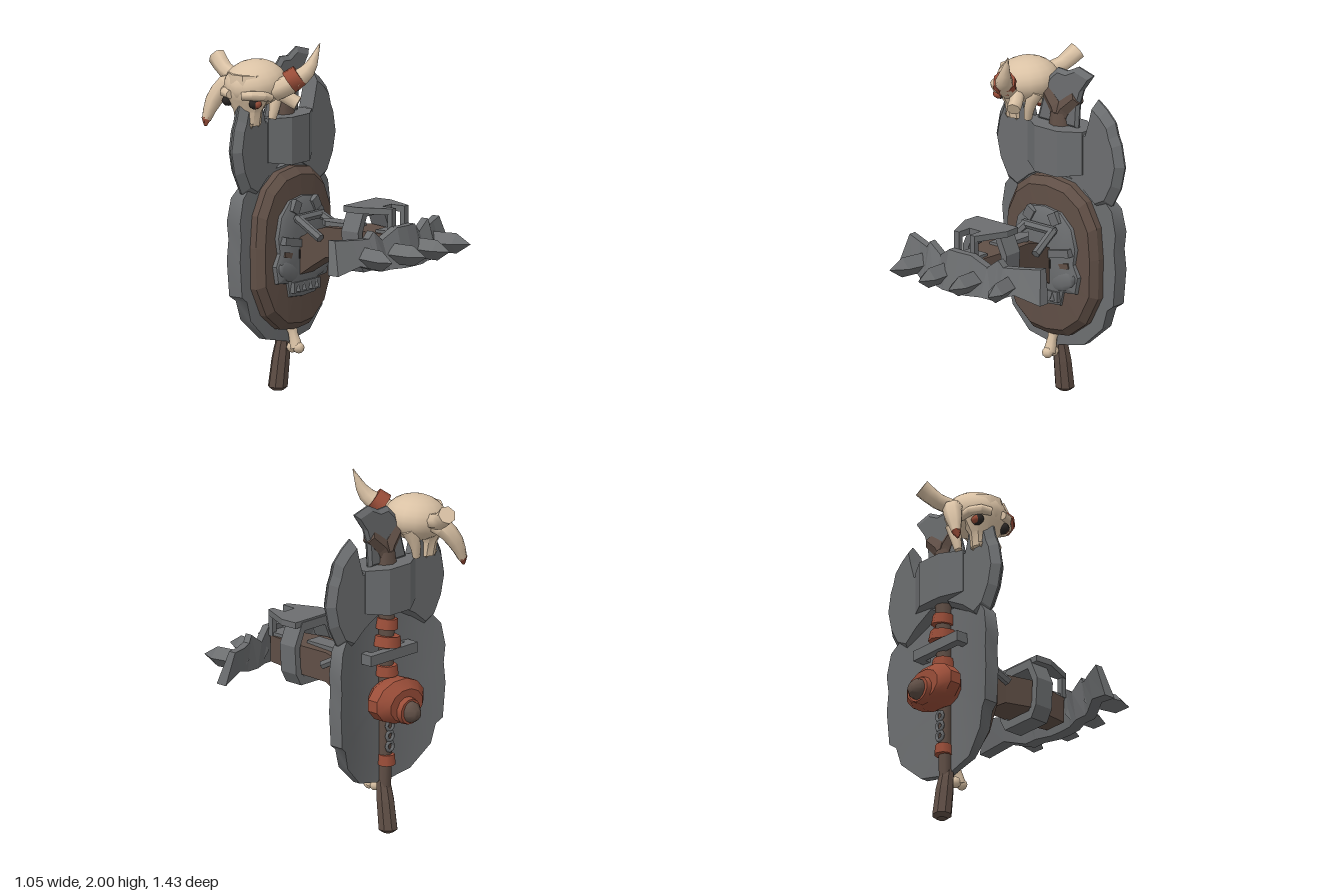
import * as THREE from 'three';
import { toCreasedNormals } from 'three/addons/utils/BufferGeometryUtils.js';

const V = (x, y, z) => new THREE.Vector3(x, y, z);

// Solid through closed loops of points, capped at both ends, faces turned outward
function loft(loops, crease = 0) {
  const tris = [];
  const n = loops[0].length;
  for (let k = 0; k + 1 < loops.length; k++) {
    for (let i = 0; i < n; i++) {
      const j = (i + 1) % n;
      const [a, b, c, d] = [loops[k][i], loops[k][j], loops[k + 1][j], loops[k + 1][i]];
      tris.push([a, b, c], [a, c, d]);
    }
  }
  const cap = (loop, flip) => {
    const mid = loop.reduce((m, p) => m.add(p), V(0, 0, 0)).divideScalar(n);
    loop.forEach((p, i) => {
      const q = loop[(i + 1) % n];
      tris.push(flip ? [mid, q, p] : [mid, p, q]);
    });
  };
  cap(loops[0], true);
  cap(loops[loops.length - 1], false);
  const o = loops[0][0];
  let volume = 0;
  for (const [a, b, c] of tris) {
    volume += a.clone().sub(o).dot(b.clone().sub(o).cross(c.clone().sub(o)));
  }
  const pts = tris.flatMap(([a, b, c]) => (volume < 0 ? [a, c, b] : [a, b, c]));
  const geo = new THREE.BufferGeometry().setFromPoints(pts);
  geo.computeVertexNormals();
  return crease ? toCreasedNormals(geo, crease) : geo;
}

// Tapered round bar along a curve
function taper(points, radii, sides = 8, steps = 6) {
  const curve = new THREE.CatmullRomCurve3(points.map(p => V(...p)));
  const { normals, binormals } = curve.computeFrenetFrames(steps);
  const loops = [];
  for (let k = 0; k <= steps; k++) {
    const f = (k / steps) * (radii.length - 1);
    const i = Math.min(Math.floor(f), radii.length - 2);
    const r = THREE.MathUtils.lerp(radii[i], radii[i + 1], f - i);
    const c = curve.getPoint(k / steps);
    loops.push(Array.from({ length: sides }, (_, s) => {
      const a = (s / sides) * Math.PI * 2;
      return c.clone().addScaledVector(normals[k], Math.cos(a) * r).addScaledVector(binormals[k], Math.sin(a) * r);
    }));
  }
  return loft(loops, sides > 6 ? .95 : 0);
}

const ring = (n, f) => Array.from({ length: n }, (_, i) => f(((i + 0.5) / n) * Math.PI * 2));
const mirrored = half => [...half, ...half.filter(p => p[0] > 0).reverse().map(([x, y]) => [-x, y])];
// Outline scaled about a centre, with depth from a rule
const outline = (pts, s, cx, cy, depth) => pts.map(([x, y]) => {
  const px = cx + (x - cx) * s, py = cy + (y - cy) * s;
  return V(px, py, depth(px, py));
});
const shape = pts => new THREE.Shape(pts.map(p => new THREE.Vector2(...p)));
const extrude = (s, depth) => new THREE.ExtrudeGeometry(s, { depth, bevelEnabled: false });

export function createModel() {
  const root = new THREE.Group();
  const mat = (name, color) => Object.assign(new THREE.MeshStandardMaterial({ color }), { name });
  const metal = mat('iron', 0x6c6e70), wood = mat('wood', 0x604f46);
  const bone = mat('bone', 0xdac2a5), red = mat('red leather', 0x9b4e39), dark = mat('shadow black', 0x2b2725);
  const add = (name, geo, material, x = 0, y = 0, z = 0) => {
    const m = new THREE.Mesh(geo, material);
    m.name = name;
    m.position.set(x, y, z);
    root.add(m);
    return m;
  };
  const box = (name, w, h, d, material, x, y, z) => add(name, new THREE.BoxGeometry(w, h, d), material, x, y, z);

  // Iron backplate, hollowed at the back
  const plate = mirrored([[0, 1.28], [.2, 1.26], [.32, 1.21], [.39, 1.13], [.415, 1.0], [.405, .9], [.415, .78],
    [.40, .58], [.36, .55], [.33, .44], [.2, .32], [0, .28]]);
  const plateLoop = (s, off, bend) => outline(plate, s, 0, .78, x => off - bend * (x / .41) ** 2);
  add('shieldBackplate', loft([...[.02, .4, .75, 1].map(s => plateLoop(s, -.318, .025)),
    ...[1, .75, .4, .02].map(s => plateLoop(s, -.352, .082))], .7), metal);

  // Wooden shield board with a bevelled rim
  const oval = mirrored([[0, 1.27], [.14, 1.25], [.25, 1.17], [.32, 1.03], [.335, .85], [.33, .62], [.25, .46], [.13, .37], [0, .355]]);
  const ovalLoop = (s, off) => outline(oval, s, 0, .81, x => off - .02 * (x / .33) ** 2);
  add('shieldBoard', loft([ovalLoop(.3, -.30), ovalLoop(1, -.325), ovalLoop(1, -.275), ovalLoop(.91, -.235), ovalLoop(.5, -.23)]), wood);

  // Iron face on the board
  const face = mirrored([[0, 1.12], [.12, 1.1], [.2, 1.02], [.23, .9], [.215, .81], [.25, .74], [.23, .64], [.14, .63], [.12, .55], [0, .54]]);
  const faceLoop = (s, z) => outline(face, s, 0, .84, () => z);
  add('facePlate', loft([faceLoop(1, -.25), faceLoop(.97, -.222), faceLoop(.85, -.205), faceLoop(.5, -.195)], .6), metal);
  add('faceMouth', extrude(shape([[-.07, .82], [-.07, .77], [-.035, .765], [-.03, .735], [0, .715], [.03, .735], [.035, .765], [.07, .77], [.07, .82]]), .008), dark, 0, 0, -.198);
  box('faceJaw', .24, .06, .03, metal, 0, .61, -.205);
  for (const s of [-1, 1]) {
    box('faceBrow', .16, .045, .04, metal, s * .13, .87, -.2).rotation.z = s * .2;
    box('faceEye', .07, .03, .008, wood, s * .16, .80, -.2).rotation.z = s * .2;
    add('faceCheek', new THREE.SphereGeometry(1, 8, 6).scale(.1, .06, .02), metal, s * .14, .71, -.212).rotation.z = s * .35;
    for (const x of [.03, .085]) add('faceTooth', new THREE.ConeGeometry(.018, .05, 4), metal, s * x, .615, -.19);
    box('foreheadLump', .06, .07, .03, metal, s * .09, 1.06, -.205).rotation.z = s * .5;
  }

  // Ring handle above the arm
  for (const s of [-1, 1]) {
    add('handleLeg', taper([[s * .12, .91, -.01], [s * .1, 1.0, -.18]], [.025, .025], 6, 1), metal);
  }
  add('handleBar', taper([[-.115, 1.0, -.175], [.115, 1.0, -.175]], [.025, .025], 6, 1), metal);

  // Wooden arm reaching forward, with an iron strip on top
  const arm = [[-.21, .67, .88, .06], [-.1, .74, .94, .075], [0, .80, .97, .085], [.17, .815, .98, .11], [.44, .82, .97, .07]];
  add('arm', loft(arm.map(([z, lo, hi, w]) => [V(-w, lo, z), V(w, lo, z), V(w, hi, z), V(-w, hi, z)])), wood);
  const strip = extrude(shape([[-.05, -.18], [.05, -.18], [.05, .03], [0, .09], [-.05, .03]]), .03);
  add('armStrip', strip.rotateX(-Math.PI / 2), metal, 0, .965, 0);
  box('armEndPlate', .13, .03, .12, metal, 0, .975, .39);

  // Collar and slotted tongue
  const collar = shape([[-.11, .75], [.11, .75], [.15, .82], [.16, .98], [.1, 1.11], [-.1, 1.11], [-.16, .98], [-.15, .82]]);
  collar.holes.push(new THREE.Path([[-.09, .8], [-.115, .85], [-.12, .97], [-.08, 1.06], [.08, 1.06], [.12, .97], [.115, .85], [.09, .8]]
    .map(p => new THREE.Vector2(...p))));
  add('collar', extrude(collar, .115), metal, 0, 0, .165);
  const tongue = extrude(shape([[-.15, -.17], [-.155, -.27], [-.075, -.45], [-.04, -.45], [-.04, -.36], [.04, -.36],
    [.04, -.45], [.075, -.45], [.155, -.27], [.15, -.17]]), .035);
  add('collarTongue', tongue.rotateX(-Math.PI / 2), metal, 0, 1.085, 0);
  for (const s of [-1, 1]) box('tonguePost', .035, .14, .03, metal, s * .058, 1.04, .435);

  // Waved knuckle blade: x, back z, low y, high y
  const wave = [[0, .45, .8, 1.02], [.08, .445, .8, 1.02], [.17, .41, .8, .96], [.25, .41, .8, 1.02], [.28, .40, .81, .98], [.37, .355, .84, .98], [.48, .315, .80, .99]];
  const waveAll = [...wave.slice(1).reverse().map(([x, ...r]) => [-x, ...r]), ...wave];
  add('knuckleBlade', loft(waveAll.map(([x, z, lo, hi]) => {
    const b = x * (Math.abs(x) > .4 ? 1.09 : 1);
    return [V(x, hi, z), V(x, hi, z + .045), V(b, lo, z + .1), V(b, lo, z + .03)];
  })), metal);
  for (const s of [-1, 1]) {
    for (const [x0, x1, z0, z1] of [[.11, .11, .46, .71], [.31, .36, .42, .665]]) {
      const loop = (t, r) => ring(4, a => V(s * (x0 + (x1 - x0) * t) + r * Math.sin(a + Math.PI / 4),
        .88 + r * 1.1 * Math.cos(a + Math.PI / 4), z0 + (z1 - z0) * t));
      add('knuckleSpike', loft([loop(0, .052), loop(.66, .052), loop(1, .001)]), metal);
    }
  }

  // Axe: paired blades, socket and crest
  const blade = [[.05, 1.56], [.22, 1.56], [.25, 1.66], [.275, 1.755], [.34, 1.71], [.40, 1.65], [.42, 1.58], [.445, 1.53], [.47, 1.4],
    [.44, 1.27], [.38, 1.16], [.3, 1.12], [.2, 1.2], [.05, 1.28]];
  for (const s of [-1, 1]) {
    const loop = (k, z) => outline(blade.map(([x, y]) => [s * x, y]), k, s * .18, 1.41, () => z);
    add('axeBlade', loft([loop(.86, -.318), loop(1, -.36), loop(1, -.37), loop(.86, -.412)]), metal);
  }
  const socket = (y, lift) => ring(8, a => V(.215 * Math.cos(a), y + lift * Math.abs(Math.cos(a)), -.362 + .138 * Math.sin(a)));
  add('axeSocket', loft([socket(1.28, .035), socket(1.56, 0)]), metal);
  const crest = [[-.17, 1.55], [-.12, 1.72], [-.08, 1.82], [-.02, 1.88], [.05, 1.875], [.13, 1.915], [.24, 1.885], [.17, 1.79], [.14, 1.7], [.13, 1.55]];
  const crestLoop = (k, z) => outline(crest, k, .03, 1.7, () => z);
  add('crestBlade', loft([crestLoop(.86, -.342), crestLoop(1, -.36), crestLoop(1, -.37), crestLoop(.86, -.388)]), metal);

  // Forked wooden shaft with wraps
  add('shaft', taper([[0, .24, -.37], [0, 1.3, -.385]], [.035, .045], 8, 1), wood);
  add('forkStem', new THREE.CylinderGeometry(.06, .072, .09, 8).toNonIndexed(), wood, 0, 1.585, -.365);
  for (const x of [-.1, .12]) add('forkArm', taper([[0, 1.6, -.365], [x * .3, 1.66, -.365], [x, 1.735, -.365]], [.056, .052, .042], 6, 2), wood);
  const grip = [[.3, .038, -.355], [.25, .045, -.365], [.18, .052, -.375], [.02, .056, -.395], [0, .03, -.395]];
  add('grip', loft(grip.map(([y, r, z]) => ring(8, a => V(r * Math.cos(a), y, z + r * Math.sin(a))))), wood);
  for (const [y, r] of [[1.21, .06], [1.11, .075], [.94, .06], [.42, .045]]) {
    const wrap = add('shaftWrap', new THREE.CylinderGeometry(r, r * 1.1, .06, 8).toNonIndexed(), red, 0, y, -.385);
    wrap.rotation.z = y > 1 ? .12 : 0;
  }
  box('shaftClamp', .37, .06, .05, metal, 0, 1.04, -.42);
  for (const s of [-1, 1]) box('clampBracket', .05, .06, .1, metal, s * .16, 1.04, -.385);
  for (const y of [.5, .56, .62]) add('chainLink', new THREE.TorusGeometry(.026, .011, 5, 8), metal, 0, y, -.41);

  // Red drum on the back with its knob
  const oct = (z, y, rx, ry) => ring(12, a => V(rx * 1.03 * Math.cos(a), y + ry * 1.03 * Math.sin(a), z));
  add('drum', loft([oct(-.36, .78, .12, .09), oct(-.42, .78, .185, .122), oct(-.49, .78, .185, .122), oct(-.54, .765, .125, .09)], .6), red);
  add('drumRing', loft([oct(-.52, .74, .08, .08), oct(-.57, .735, .075, .07)], .6), red);
  add('drumKnob', loft([oct(-.56, .735, .054, .062), oct(-.595, .735, .052, .055), oct(-.625, .73, .025, .028), oct(-.63, .73, .01, .01)], .7), wood);

  // Bone hanging below the shield
  add('boneShaft', taper([[0, .38, -.305], [0, .25, -.265]], [.036, .026, .036], 8, 4), bone);
  for (const z of [-.25, -.295]) add('boneKnob', new THREE.SphereGeometry(.032, 8, 6), bone, 0, .252, z);

  // Horned skull trophy looking sideways and down
  add('skullDome', new THREE.SphereGeometry(1, 16, 12).scale(.182, .13, .172).rotateZ(.15), bone, -.25, 1.765, -.365);
  const snout = [[1.83, -.29, .13, .12], [1.74, -.295, .135, .15], [1.69, -.315, .105, .135], [1.62, -.315, .062, .09], [1.54, -.31, .06, .075]];
  add('skullMuzzle', loft(snout.map(([y, x, w, d]) => ring(10, a => V(x + w * Math.cos(a), y, -.365 + d * Math.sin(a)))), .6), bone);
  for (const s of [-1, 1]) {
    const z = o => -.365 + s * o;
    add('skullSocket', new THREE.SphereGeometry(1, 8, 6).scale(.042, .032, .03), dark, -.372, 1.675, z(.093));
    add('skullEye', new THREE.SphereGeometry(1, 8, 6).scale(.034, .025, .03), red, -.372, 1.672, z(.1));
    add('skullBrow', taper([[-.425, 1.72, z(.04)], [-.385, 1.725, z(.12)], [-.29, 1.705, z(.14)]], [.025, .03, .025], 7, 3), bone);
    add('skullJawHinge', taper([[-.13, 1.73, z(.06)], [-.165, 1.65, z(.075)], [-.185, 1.56, z(.07)]], [.045, .035, .022], 7, 3), bone);
    for (const x of [-.35, -.285]) add('skullTooth', new THREE.ConeGeometry(.016, .03, 5).rotateX(Math.PI), bone, x, 1.54, z(.05));
  }
  add('skullNose', new THREE.ConeGeometry(.02, .05, 3), dark, -.375, 1.63, -.365);

  // Horns: whole, broken, drooping and short stump
  add('frontHorn', taper([[-.26, 1.73, -.23], [-.21, 1.79, -.13], [-.155, 1.86, -.065], [-.10, 2.0, -.03]], [.055, .058, .042, .003], 8, 8), bone);
  add('frontHornBand', taper([[-.226, 1.787, -.148], [-.19, 1.828, -.103]], [.068, .063], 8, 1), red);
  add('brokenHorn', taper([[-.24, 1.77, -.48], [-.2, 1.8, -.6], [-.165, 1.865, -.69]], [.046, .046, .052], 7, 4), bone);
  add('droopingHorn', taper([[-.24, 1.76, -.46], [-.27, 1.74, -.55], [-.33, 1.65, -.595], [-.37, 1.55, -.612]], [.05, .058, .048, .027], 7, 6), bone);
  add('droopingHornTip', taper([[-.367, 1.558, -.612], [-.38, 1.515, -.61]], [.029, .008], 7, 1), red);
  add('hornStump', taper([[-.23, 1.75, -.27], [-.18, 1.69, -.19], [-.155, 1.66, -.14]], [.04, .04, .04], 7, 3), bone);
  return root;
}
